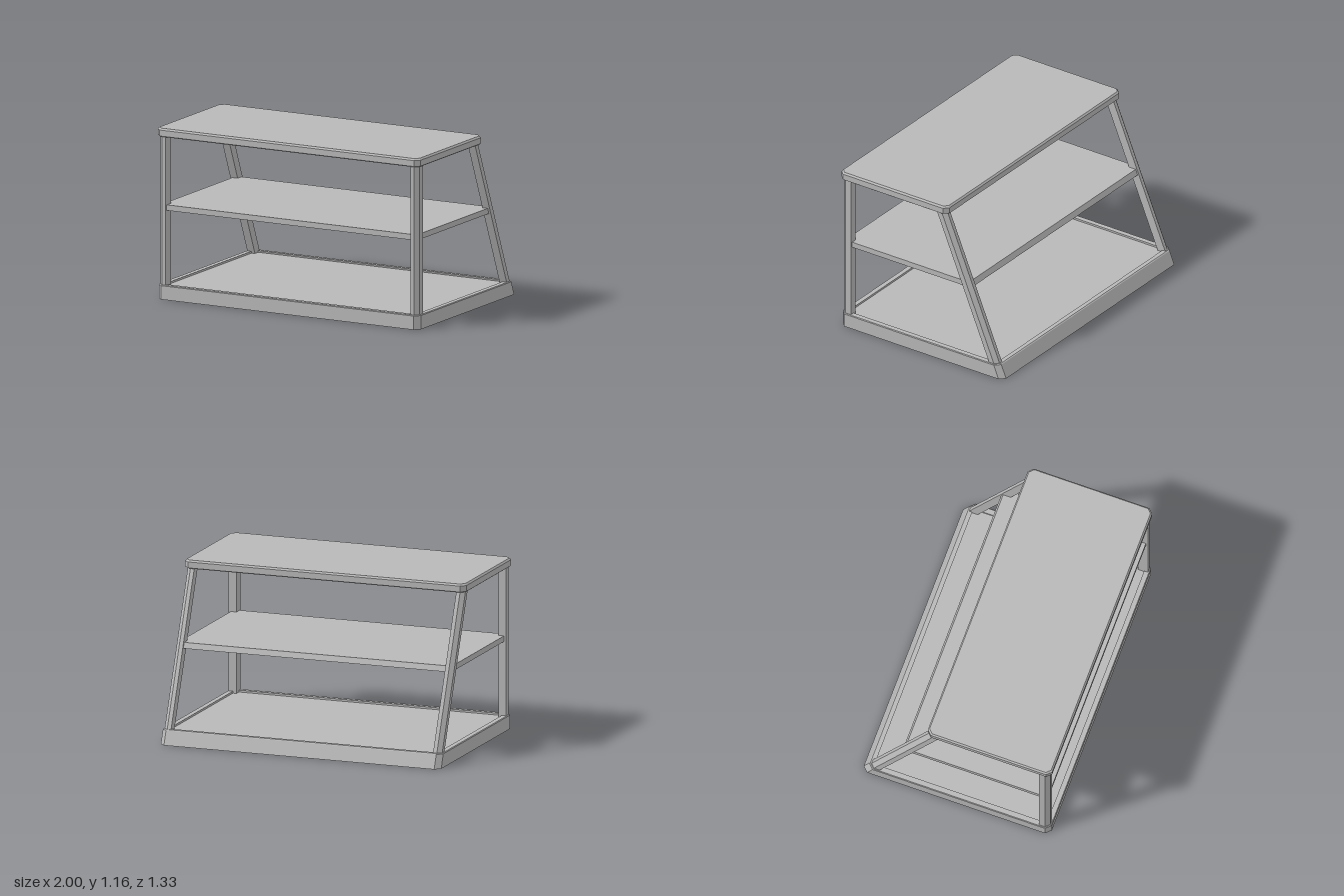
import * as THREE from 'three';

// Chamfered rectangle at height y, counter-clockwise seen from above
function ring(y, x, zf, zb, c) {
  return [
    [x - c, zf], [x, zf - c], [x, zb + c], [x - c, zb],
    [c - x, zb], [-x, zb + c], [-x, zf - c], [c - x, zf],
  ].map(([px, pz]) => [px, y, pz]);
}

// Faceted skin over stacked rings: capped solid, or a closed hollow frame
function loft(rings, hollow = false) {
  const pos = [];
  const tri = (a, b, c) => pos.push(...a, ...b, ...c);
  const n = rings[0].length;
  const last = rings.length - 1;
  for (let r = 0; r < (hollow ? rings.length : last); r++) {
    const lo = rings[r], hi = rings[(r + 1) % rings.length];
    for (let i = 0; i < n; i++) {
      const j = (i + 1) % n;
      tri(lo[i], lo[j], hi[j]);
      tri(lo[i], hi[j], hi[i]);
    }
  }
  if (!hollow) {
    for (let i = 1; i < n - 1; i++) {
      tri(rings[last][0], rings[last][i], rings[last][i + 1]);
      tri(rings[0][0], rings[0][i + 1], rings[0][i]);
    }
  }
  const geo = new THREE.BufferGeometry();
  geo.setAttribute('position', new THREE.Float32BufferAttribute(pos, 3));
  geo.computeVertexNormals();
  return geo;
}

export function createModel() {
  const model = new THREE.Group();
  model.name = 'displayCase';
  const grey = new THREE.MeshStandardMaterial({ color: 0xb8b8b8 });
  grey.name = 'grey';

  const add = (name, geo) => {
    const mesh = new THREE.Mesh(geo, grey);
    mesh.name = name;
    model.add(mesh);
  };

  // Base frame with a sloping back, and the floor panel set inside it
  add('baseFrame', loft([
    ring(0, 0.995, 0.658, -0.665, 0.036),
    ring(0.093, 0.995, 0.658, -0.627, 0.036),
    ring(0.098, 0.99, 0.653, -0.62, 0.034),
    ring(0.098, 0.955, 0.62, -0.59, 0.024),
    ring(0, 0.955, 0.62, -0.625, 0.024),
  ], true));
  add('floorPanel', loft([
    ring(0.055, 0.965, 0.63, -0.605, 0.02),
    ring(0.085, 0.965, 0.63, -0.595, 0.02),
  ]));

  // Table top with bevelled edges
  add('top', loft([
    ring(1.1, 0.99, 0.655, -0.203, 0.03),
    ring(1.106, 0.998, 0.663, -0.212, 0.032),
    ring(1.146, 0.998, 0.663, -0.212, 0.032),
    ring(1.158, 0.988, 0.653, -0.202, 0.028),
  ]));

  // Middle shelf, its back edge following the slope of the rear legs
  add('shelf', loft([
    ring(0.6, 0.97, 0.632, -0.388, 0.03),
    ring(0.638, 0.97, 0.632, -0.372, 0.03),
  ]));

  // Corner posts: five-sided, chamfered on the outer corner
  const backZ = (y) => -0.61 + 0.42 * (y - 0.1);
  const section = (side, y, zOuter, depth, chamfer, dir) => {
    const pts = [
      [0.93, zOuter], [0.957, zOuter], [0.985, zOuter - dir * chamfer],
      [0.985, zOuter - dir * depth], [0.93, zOuter - dir * depth],
    ].map(([x, z]) => [side * x, y, z]);
    return side * dir > 0 ? pts : pts.reverse();
  };
  for (const side of [1, -1]) {
    const label = side > 0 ? 'Left' : 'Right';
    add('frontPost' + label, loft(
      [0.06, 1.105].map((y) => section(side, y, 0.647, 0.072, 0.028, 1))));
    add('rearLeg' + label, loft(
      [0.06, 1.105].map((y) => section(side, y, backZ(y), 0.066, 0.026, -1))));
  }
  return model;
}
